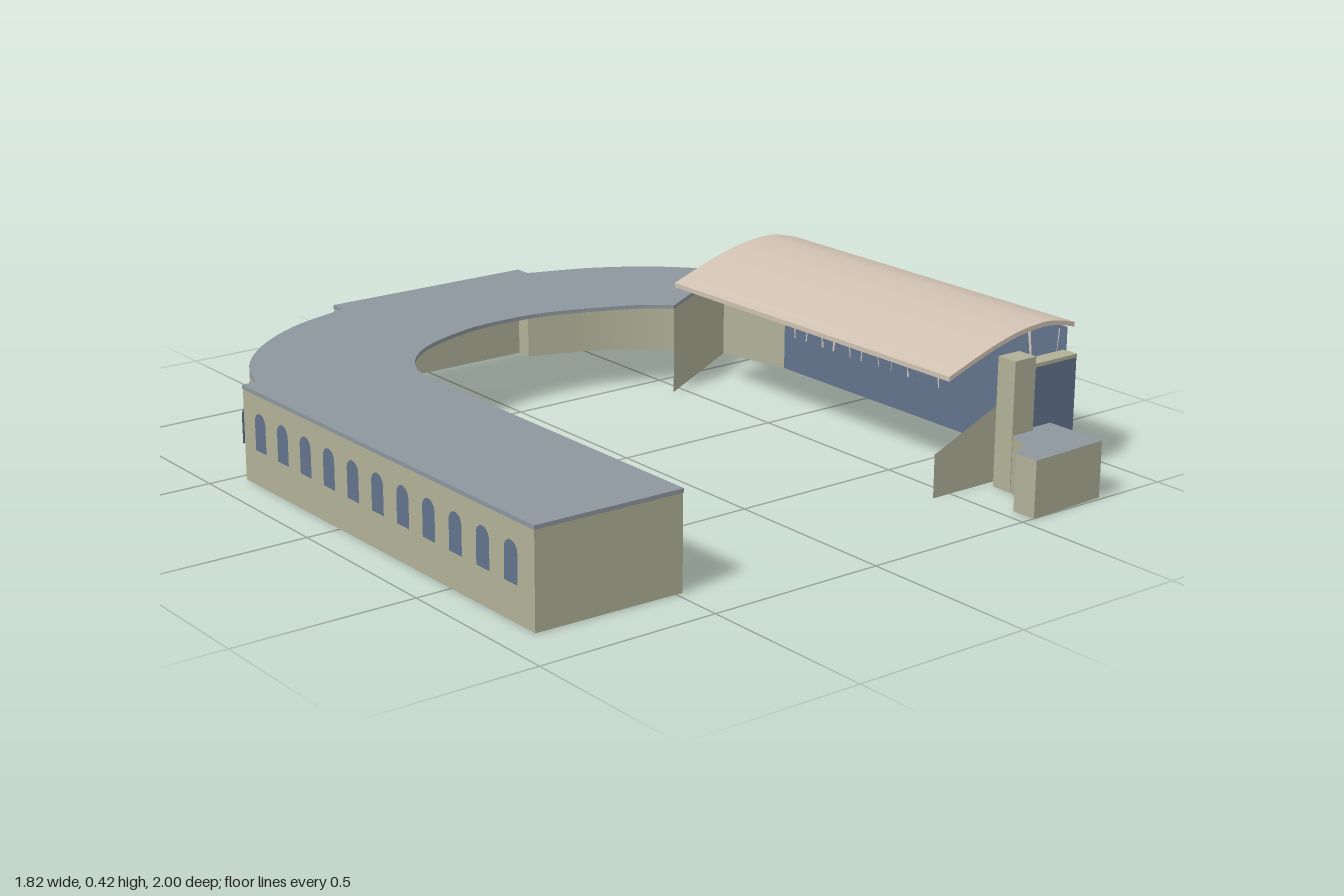
import * as THREE from 'three';
import { toCreasedNormals } from 'three/addons/utils/BufferGeometryUtils.js';

const mat = (name, color, side = THREE.DoubleSide) => {
  const m = new THREE.MeshStandardMaterial({ color, side });
  m.name = name;
  return m;
};

export function createModel() {
  const group = new THREE.Group();
  const stone = mat('stone', 0xb0b098);
  const slate = mat('slate', 0x8d969e);
  const glass = mat('glass', 0x62738a);
  const canopyTan = mat('canopyTan', 0xcfc0b1);

  const add = (name, geometry, material, parent = group) => {
    const mesh = new THREE.Mesh(geometry, material);
    mesh.name = name;
    parent.add(mesh);
    return mesh;
  };
  const spline = (pts) => new THREE.CatmullRomCurve3(pts.map(([x, z]) => new THREE.Vector3(x, 0, z)));
  const toXZ = (curve, n) => curve.getSpacedPoints(n).map((p) => [p.x, p.z]);

  // Thin upright wall along a plan path; heights may differ at its two ends
  const wall = (name, path, h0, h1 = h0, material = stone) => {
    const pos = [], idx = [];
    path.forEach(([x, z], i) => {
      pos.push(x, 0, z, x, h0 + (h1 - h0) * i / (path.length - 1), z);
      if (i) idx.push(2 * i - 2, 2 * i - 1, 2 * i, 2 * i, 2 * i - 1, 2 * i + 1);
    });
    const g = new THREE.BufferGeometry();
    g.setAttribute('position', new THREE.Float32BufferAttribute(pos, 3));
    g.setIndex(idx);
    g.computeVertexNormals();
    return add(name, g, material);
  };
  // Flat slab from a plan outline
  const slab = (outline, y, depth) => {
    const shape = new THREE.Shape(outline.map(([x, z]) => new THREE.Vector2(x, -z)));
    return new THREE.ExtrudeGeometry(shape, { depth, bevelEnabled: false }).rotateX(-Math.PI / 2).translate(0, y, 0);
  };

  // Plan curves of the horseshoe wing
  const curveLeft = spline([[-0.868, -0.47], [-0.8, -0.62], [-0.685, -0.75], [-0.526, -0.857], [-0.32, -0.93]]);
  const curveRight = spline([[0.33, -0.93], [0.53, -0.857], [0.675, -0.762], [0.76, -0.68], [0.823, -0.597]]);
  const curveInner = spline([[0.463, -0.384], [0.4, -0.437], [0.29, -0.49], [0.11, -0.548], [-0.05, -0.555],
    [-0.156, -0.54], [-0.33, -0.47], [-0.42, -0.39], [-0.47, -0.3], [-0.484, -0.22]]);
  const left = toXZ(curveLeft, 20), right = toXZ(curveRight, 20), inner = toXZ(curveInner, 28);

  // Horseshoe wing: roof and outer walls, open to the courtyard
  const top = 0.252;
  add('wingRoof', slab([[-0.902, 0.845], [-0.907, -0.47], ...left, [-0.32, -0.98], [0.33, -0.98],
    ...right, ...inner, [-0.48, 0.855]], top, 0.011), slate);
  wall('leftArmWall', [[-0.9, 0.843], [-0.905, -0.47]], top);
  wall('leftArmFrontWall', [[-0.481, 0.853], [-0.9, 0.843]], top);
  wall('leftStepWall', [[-0.905, -0.47], [-0.868, -0.47]], top);
  wall('leftCurvedWall', left, top);
  wall('backBlockLeftSide', [[-0.32, -0.93], [-0.32, -0.978]], top);
  wall('backBlockWall', [[-0.32, -0.978], [0.33, -0.978]], top);
  wall('backBlockRightSide', [[0.33, -0.978], [0.33, -0.93]], top);
  wall('rightCurvedWall', right, top);
  wall('wingEndWall', [[0.823, -0.597], [0.463, -0.384]], top);

  // Arched windows: plates facing the outward normal (nx, nz)
  const windows = new THREE.Group();
  windows.name = 'archedWindows';
  group.add(windows);
  const r = 0.027;
  const arch = new THREE.Shape();
  arch.moveTo(-r, 0.1);
  arch.lineTo(r, 0.1);
  arch.lineTo(r, 0.178);
  arch.absarc(0, 0.178, r, 0, Math.PI, false);
  arch.closePath();
  const archGeometry = new THREE.ShapeGeometry(arch, 8);
  const addWindow = (x, z, nx, nz) => {
    const w = add('archedWindow', archGeometry, glass, windows);
    w.position.set(x + nx * 0.004, 0, z + nz * 0.004);
    w.rotation.y = Math.atan2(nx, nz);
  };
  for (let i = 0; i < 11; i++) addWindow(-0.904, -0.38 + i * 0.114, -1, 0);
  for (let i = 0; i < 6; i++) addWindow(-0.25 + i * 0.102, -0.978, 0, -1);
  for (const curve of [curveLeft, curveRight]) {
    for (let i = 0; i < 6; i++) {
      const u = (i + 0.6) / 6.2, p = curve.getPointAt(u), t = curve.getTangentAt(u);
      addWindow(p.x, p.z, t.z, -t.x);
    }
  }
  addWindow(-0.32, -0.972, -1, 0);
  addWindow(0.33, -0.972, 1, 0);
  addWindow(-0.882, -0.47, 0, -1);

  // Hall: glazed side, sloping link wall and front return
  wall('hallGlazing', [[0.873, -0.37], [0.873, 0.77]], 0.395, 0.395, glass);
  wall('linkWall', [[0.823, -0.597], [0.873, -0.37]], 0.2, 0.325);
  add('hallFrontReturn', new THREE.BoxGeometry(0.167, 0.32, 0.045).translate(0.7915, 0.16, 0.7825), glass);
  add('hallFrontCoping', new THREE.BoxGeometry(0.169, 0.01, 0.047).translate(0.7915, 0.325, 0.7825), stone);

  // Slanting struts over the glazing, two per peak
  const struts = new THREE.Group();
  struts.name = 'facadeStruts';
  group.add(struts);
  for (let i = 0; i < 10; i++) {
    for (const s of [-1, 1]) {
      if ((i === 0 && s < 0) || (i === 9 && s > 0)) continue;
      const leg = new THREE.Shape([[0.001, 0.385], [0.012, 0.385], [0.042, 0.105], [0.034, 0.105]]
        .map(([a, y]) => new THREE.Vector2(a * s, y)));
      const g = new THREE.ExtrudeGeometry(leg, { depth: 0.006, bevelEnabled: false }).rotateY(Math.PI / 2);
      add('strut', g, canopyTan, struts).position.set(0.873, 0, 0.745 - i * 0.1226);
    }
  }

  // Curved canopy over the hall
  const arc = new THREE.SplineCurve([[0.458, 0.333], [0.595, 0.382], [0.7, 0.41], [0.79, 0.42], [0.85, 0.415], [0.91, 0.4]]
    .map(([x, y]) => new THREE.Vector2(x, y))).getPoints(20);
  const section = new THREE.Shape([...arc, ...arc.map((p) => new THREE.Vector2(p.x, p.y - 0.013)).reverse()]);
  const canopy = new THREE.ExtrudeGeometry(section, { depth: 1.135, bevelEnabled: false }).translate(0, 0, -0.375);
  add('canopy', toCreasedNormals(canopy, 0.5), canopyTan);

  // Entrance: slanted side wall, tower and low front block
  wall('slantedWall', [[0.44, 0.735], [0.71, 0.735]], 0.12, 0.232);
  add('tower', new THREE.BoxGeometry(0.075, 0.358, 0.062).translate(0.667, 0.179, 0.793), stone);
  add('entranceBlock', slab([[0.537, 0.93], [0.6, 0.895], [0.632, 0.825], [0.632, 0.805], [0.788, 0.805],
    [0.788, 0.99], [0.54, 1.0]], 0, 0.156), [slate, stone]);

  return group;
}
